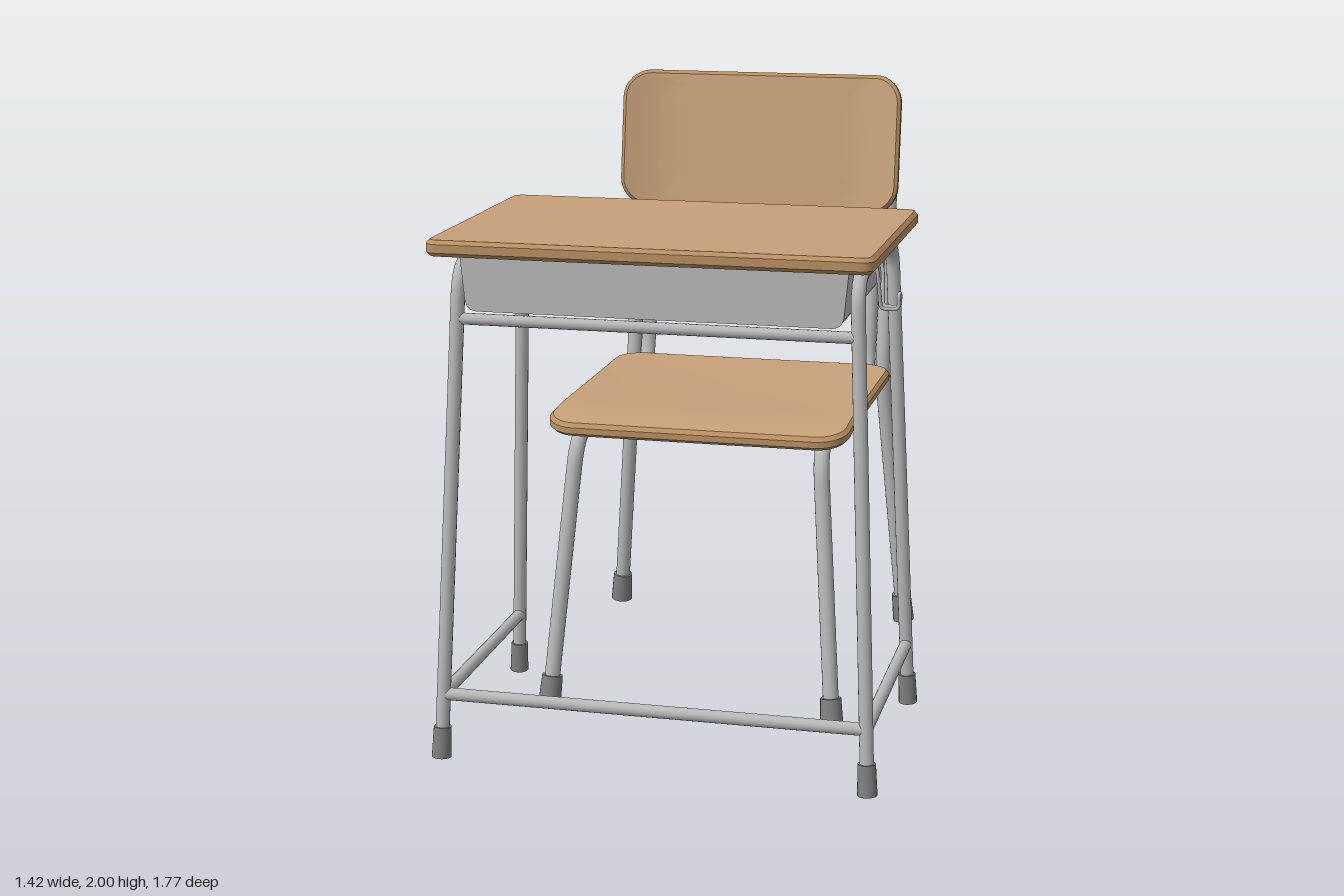
import * as THREE from 'three';
import { toCreasedNormals } from 'three/addons/utils/BufferGeometryUtils.js';

const mat = (name, color) => Object.assign(new THREE.MeshStandardMaterial({ color }), { name });
const V = (x, y, z) => new THREE.Vector3(x, y, z);

export function createModel() {
  const wood = mat('wood', 0xc6a179);
  const woodEdge = mat('wood edge', 0xb98f62);
  const steel = mat('steel', 0xb8b8b8);
  const rubber = mat('rubber', 0x808080);

  const model = new THREE.Group();
  model.name = 'schoolDeskAndChair';
  const desk = new THREE.Group();
  desk.name = 'desk';
  const chair = new THREE.Group();
  chair.name = 'chair';
  model.add(desk, chair);

  const add = (parent, name, geo, material) => {
    const m = new THREE.Mesh(geo, material);
    m.name = name;
    parent.add(m);
    return m;
  };

  // Tube through points, with each inner corner rounded off
  const tube = (parent, name, pts, r, fillet = 0.1, segs = 110) => {
    const path = new THREE.CurvePath();
    let last = pts[0];
    for (let i = 1; i < pts.length - 1; i++) {
      const p = pts[i];
      const toward = (q) => p.clone().add(q.clone().sub(p).setLength(Math.min(fillet, q.distanceTo(p) * 0.49)));
      const a = toward(pts[i - 1]), b = toward(pts[i + 1]);
      path.add(new THREE.LineCurve3(last, a));
      path.add(new THREE.QuadraticBezierCurve3(a, p, b));
      last = b;
    }
    path.add(new THREE.LineCurve3(last, pts[pts.length - 1]));
    return add(parent, name, new THREE.TubeGeometry(path, pts.length > 2 ? segs : 1, r, 14), steel);
  };

  // Rubber cap on the end of a leg, lined up with the leg
  const foot = (parent, name, p, above, r) => {
    const dir = above.clone().sub(p).normalize();
    const m = add(parent, name, new THREE.CylinderGeometry(r * 0.9, r, 0.1, 18), rubber);
    m.quaternion.setFromUnitVectors(V(0, 1, 0), dir);
    m.position.copy(p).addScaledVector(dir, 0.047);
  };

  // Rounded-rectangle outline in x and z
  const outline = (w, d, r) => {
    const c = [], out = [];
    [[1, 1], [-1, 1], [-1, -1], [1, -1]].forEach(([sx, sz], k) => {
      for (let i = 0; i <= 8; i++) {
        const a = (k + i / 8) * Math.PI / 2;
        c.push([sx * (w - r) + r * Math.cos(a), sz * (d - r) + r * Math.sin(a)]);
      }
    });
    c.forEach((p, i) => {
      const q = c[(i + 1) % c.length];
      const n = i % 9 === 8 ? 16 : 1;
      for (let j = 0; j < n; j++) out.push([p[0] + (q[0] - p[0]) * j / n, p[1] + (q[1] - p[1]) * j / n]);
    });
    return out;
  };

  // Surface through closed rings
  const skin = (rings) => {
    const n = rings[0].length, index = [];
    for (let j = 0; j < rings.length - 1; j++) {
      for (let i = 0; i < n; i++) {
        const a = j * n + i, b = j * n + (i + 1) % n;
        index.push(a, b, a + n, b, b + n, a + n);
      }
    }
    const g = new THREE.BufferGeometry();
    g.setAttribute('position', new THREE.Float32BufferAttribute(rings.flat(2), 3));
    g.setIndex(index);
    g.computeVertexNormals();
    return g;
  };

  // Plywood board with bevelled rim; lift(x, z) bends it
  const board = (parent, name, w, d, r, t, b, lift = () => 0) => {
    const g = new THREE.Group();
    g.name = name;
    parent.add(g);
    const ring = (inset, y, s = 1) => outline(w - inset, d - inset, r - inset)
      .map(([x, z]) => [x * s, y + lift(x * s, z * s), z * s]);
    const steps = [0, 0.25, 0.5, 0.65, 0.74, 0.79, 0.84, 0.89, 0.94, 1];
    add(g, name + 'Top', skin(steps.map((s) => ring(b, t / 2, s))), wood);
    add(g, name + 'Underside', skin(steps.slice().reverse().map((s) => ring(b, -t / 2, s))), wood);
    const rim = skin([ring(b, t / 2), ring(0, t / 2 - b), ring(0, b - t / 2), ring(b, -t / 2)]);
    add(g, name + 'Rim', toCreasedNormals(rim, 0.5), woodEdge);
    return g;
  };

  // Desk top
  board(desk, 'deskTop', 0.68, 0.45, 0.04, 0.05, 0.012).position.set(0, 1.64, 0.43);

  // Book tray, open toward the seat
  const trayOutline = (o) => {
    const s = new THREE.Shape();
    const w = 0.595 - o, v = 0.577 - o, y = 1.437 + o, r = 0.035;
    s.moveTo(-w, 1.614);
    s.lineTo(-v - 0.004, y + r);
    s.quadraticCurveTo(-v, y, -v + r, y);
    s.lineTo(v - r, y);
    s.quadraticCurveTo(v, y, v + 0.004, y + r);
    s.lineTo(w, 1.614);
    return s.getPoints(6);
  };
  const extrude = (pts, depth) => new THREE.ExtrudeGeometry(new THREE.Shape(pts), { depth, bevelEnabled: false });
  add(desk, 'trayShell', extrude([...trayOutline(0), ...trayOutline(0.01).reverse()], 0.71), steel).position.z = 0.07;
  add(desk, 'trayFront', extrude(trayOutline(0), 0.012), steel).position.z = 0.78;

  // Desk side frames, feet, lower side rails and bag hooks
  for (const s of [1, -1]) {
    const frame = [V(s * 0.68, 0.01, 0.836), V(s * 0.612, 1.582, 0.745), V(s * 0.612, 1.582, 0.105), V(s * 0.68, 0.01, 0.026)];
    tube(desk, 'deskLegFrame', frame, 0.022);
    foot(desk, 'deskFrontFoot', frame[0], frame[1], 0.031);
    foot(desk, 'deskRearFoot', frame[3], frame[2], 0.031);
    tube(desk, 'deskSideRail', [V(s * 0.671, 0.213, 0.822), V(s * 0.671, 0.213, 0.037)], 0.02);
    const half = [[0.622, 1.565, 0.475], [0.628, 1.54, 0.474], [0.634, 1.432, 0.45], [0.688, 1.432, 0.445], [0.688, 1.478, 0.445]];
    const hook = [...half, ...half.slice().reverse().map(([x, y, z]) => [x, y, 0.86 - z])];
    tube(desk, 'bagHook', hook.map(([x, y, z]) => V(s * x, y, z)), 0.006, 0.015, 90);
  }
  tube(desk, 'deskLowerFrontRail', [V(-0.671, 0.213, 0.824), V(0.671, 0.213, 0.824)], 0.02);
  tube(desk, 'deskUpperFrontRail', [V(-0.62, 1.405, 0.756), V(0.62, 1.405, 0.756)], 0.018);

  // Chair seat: shallow dish with a drooping front edge
  board(chair, 'seat', 0.5, 0.49, 0.1, 0.044, 0.012, (x, z) => {
    const droop = Math.max(0, (z - 0.27) / 0.22);
    return -0.012 * (1 - (z / 0.49) ** 2) * (1 - (x / 0.5) ** 2) - 0.025 * droop * droop;
  }).position.set(0, 0.97, -0.2);

  // Backrest: flat middle, wings curling forward
  const back = board(chair, 'backrest', 0.5, 0.243, 0.1, 0.046, 0.012,
    (x) => 0.05 * Math.max(0, (Math.abs(x) - 0.33) / 0.17) ** 1.4);
  back.position.set(0, 1.758, -0.79);
  back.rotation.x = Math.PI / 2 - 0.155;

  // Chair rear frame: both rear legs joined over the top
  const side = (s) => [V(s * 0.537, 0.012, -0.8), V(s * 0.457, 0.95, -0.708), V(s * 0.457, 1.93, -0.864)];
  const rear = [...side(1), ...side(-1).reverse()];
  tube(chair, 'chairRearFrame', rear, 0.026, 0.09, 200);

  // Chair seat frames: front leg, seat rail and inner back upright
  for (const s of [1, -1]) {
    const p = [V(s * 0.478, 0.014, 0.332), V(s * 0.405, 0.925, 0.2), V(s * 0.405, 0.925, -0.704), V(s * 0.405, 1.8, -0.843)];
    tube(chair, 'chairSeatFrame', p, 0.026, 0.12, 140);
    add(chair, 'uprightEnd', new THREE.SphereGeometry(0.026, 14, 8), steel).position.copy(p[3]);
    foot(chair, 'chairFrontFoot', p[0], p[1], 0.038);
    const r = side(s);
    foot(chair, 'chairRearFoot', r[0], r[1], 0.038);
  }
  for (const z of [-0.1, -0.64]) {
    tube(chair, 'seatCrossbar', [V(-0.4, 0.922, z), V(0.4, 0.922, z)], 0.02);
  }
  return model;
}
